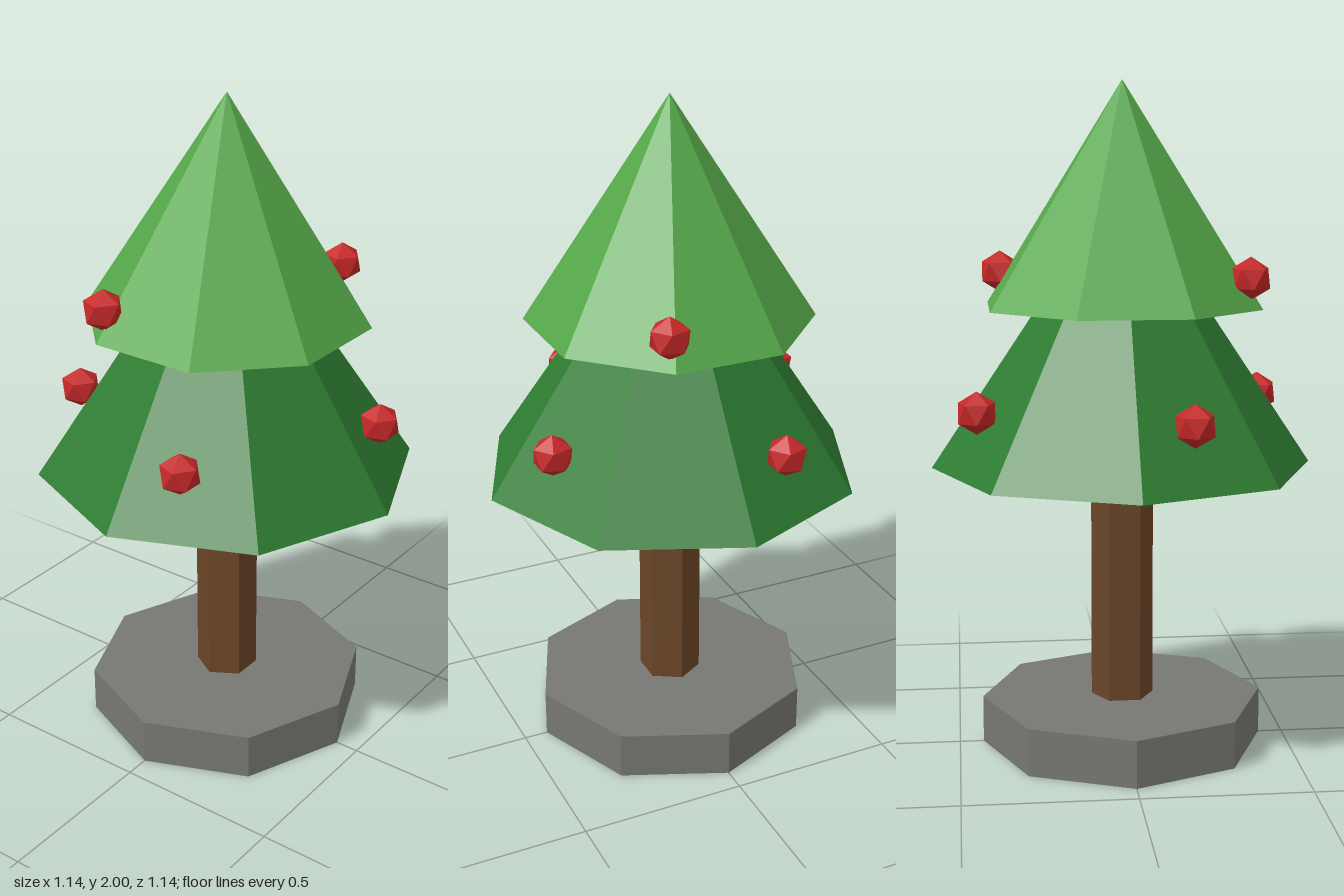
import * as THREE from 'three';

const paint = (color) => {
  const m = new THREE.MeshStandardMaterial({ color });
  m.flatShading = true;
  return m;
};

export function createModel() {
  const tree = new THREE.Group();
  const add = (name, geometry, material, x, y, z) => {
    const mesh = new THREE.Mesh(geometry, material);
    mesh.name = name;
    mesh.position.set(x, y, z);
    tree.add(mesh);
    return mesh;
  };

  // Octagonal stand and hexagonal trunk
  add('base', new THREE.CylinderGeometry(0.428, 0.428, 0.143, 8), paint(0x777772), 0, 0.0715, 0);
  add('trunk', new THREE.CylinderGeometry(0.094, 0.094, 0.76, 6), paint(0x6b4628), 0, 0.5, 0);

  // Two tiers of foliage, the upper one turned by half a side
  add('lowerFoliage', new THREE.ConeGeometry(0.571, 0.857, 8), paint(0x2e7d32), 0, 0.86 + 0.857 / 2, 0);
  const upper = add('upperFoliage', new THREE.ConeGeometry(0.428, 0.66, 8), paint(0x55a84a), 0, 1.34 + 0.33, 0);
  upper.rotation.y = Math.PI / 8;

  // Baubles: icosahedra standing on a corner
  const bauble = new THREE.IcosahedronGeometry(0.063, 0);
  bauble.rotateZ(Math.PI / 2 - Math.atan2((1 + Math.sqrt(5)) / 2, 1));
  bauble.rotateY(Math.PI);
  const red = paint(0xc62828);
  for (const s of [1, -1]) {
    add('lowerBauble', bauble, red, 0.16 * s, 1.05, 0.437 * s);
    add('lowerBauble', bauble, red, 0.437 * s, 1.05, -0.16 * s);
    add('upperBauble', bauble, red, -0.165 * s, 1.432, 0.357 * s);
  }
  return tree;
}
